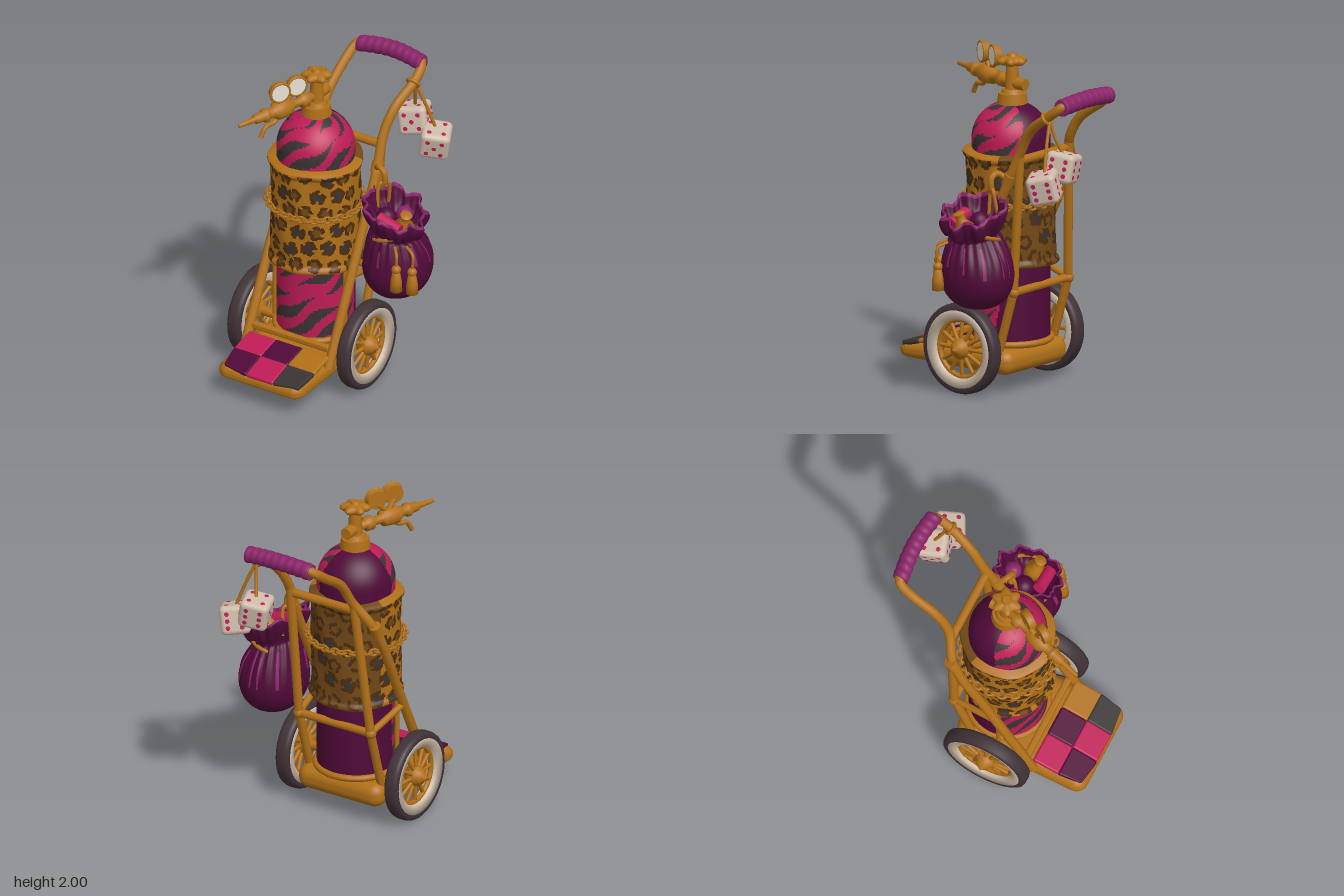
import * as THREE from 'three';
import { RoundedBoxGeometry } from 'three/addons/geometries/RoundedBoxGeometry.js';

const mat = (name, color) => Object.assign(new THREE.MeshStandardMaterial({ color }), { name });
const gold = mat('gold', 0xb07018), pink = mat('pink', 0xbe1c56), charcoal = mat('charcoal', 0x3a3433);
const purple = mat('purple', 0x500938), magenta = mat('magenta', 0x8a2468), cream = mat('cream', 0xcdbba8);
const rubber = mat('rubber', 0x403237), brown = mat('brown', 0x4e2d0f), bronze = mat('bronze', 0x724817);
const white = mat('white', 0xe9e2d8);

const V = (x, y, z) => new THREE.Vector3(x, y, z);
const TX = -0.12, TZ = 0.04; // tank axis
const hash = (i, j) => { const s = Math.sin(i * 127.1 + j * 311.7) * 43758.5453; return s - Math.floor(s); };

function add(parent, name, geo, material, x = 0, y = 0, z = 0, rx = 0, ry = 0, rz = 0) {
  const m = new THREE.Mesh(geo, material);
  m.name = name;
  m.position.set(x, y, z);
  m.rotation.set(rx, ry, rz);
  parent.add(m);
  return m;
}
function group(parent, name, x = 0, y = 0, z = 0) {
  const g = new THREE.Group();
  g.name = name;
  g.position.set(x, y, z);
  parent.add(g);
  return g;
}
const cyl = (r1, r2, h, n = 20) => new THREE.CylinderGeometry(r1, r2, h, n);
const ball = (r) => new THREE.SphereGeometry(r, 16, 12);
const lathe = (pts, n = 32) => new THREE.LatheGeometry(pts.map(p => new THREE.Vector2(p[0], p[1])), n);
const tube = (pts, r, n = 40) => new THREE.TubeGeometry(new THREE.CatmullRomCurve3(pts.map(p => V(...p))), n, r, 10);
// straight bar between two points
function bar(parent, name, a, b, r) {
  const A = V(...a), B = V(...b), d = B.clone().sub(A);
  const m = add(parent, name, cyl(r, r, d.length(), 12), gold);
  m.position.copy(A).add(B).multiplyScalar(0.5);
  m.quaternion.setFromUnitVectors(V(0, 1, 0), d.normalize());
}
// closed surface of rings; pick() chooses a material index for each cell
function surface(rows, cols, point, pick) {
  const pos = [], lists = [];
  const ang = j => -Math.PI + j / cols * Math.PI * 2;
  for (let i = 0; i <= rows; i++) for (let j = 0; j < cols; j++) pos.push(...point(ang(j), i / rows));
  for (let i = 0; i < rows; i++) for (let j = 0; j < cols; j++) {
    const k = (j + 1) % cols, a = i * cols + j, b = i * cols + k, c = b + cols, d = a + cols;
    const p = pick(ang(j + 0.5), (i + 0.5) / rows);
    (lists[p] ||= []).push(a, b, c, a, c, d);
  }
  const g = new THREE.BufferGeometry();
  g.setAttribute('position', new THREE.Float32BufferAttribute(pos, 3));
  g.setIndex(lists.flat());
  let start = 0;
  lists.forEach((l, p) => { g.addGroup(start, l.length, p); start += l.length; });
  g.computeVertexNormals();
  return g;
}

function buildTank(root) {
  const g = group(root, 'tank', TX, 0, TZ), R = 0.23, L = 1.2 + R * Math.PI / 2;
  const shell = (a, v) => {
    const s = v * L, th = Math.max(0, (s - 1.2) / R), r = R * Math.cos(th);
    return [r * Math.sin(a), 0.27 + Math.min(s, 1.2) + 0.22 * Math.sin(th), r * Math.cos(a)];
  };
  // tapering tiger stripes on the front, plain purple behind
  const stripes = (a, v) => {
    const u = a * R, s = v * L, edge = 0.05 * Math.sin(s * 17);
    if (s < 0.8 ? Math.cos(a - 0.25) < -0.1 + edge : Math.cos(a - 0.55) < -0.45 + edge) return 2;
    const t = (s - 0.62 * u) / 0.135 + 0.13 * Math.sin(u * 21 + s * 9), k = Math.floor(t);
    const w = 0.17 + 0.17 * Math.sin(u * 15 + k * 2.4);
    return Math.abs(t - k - 0.5) < w ? 1 : 0;
  };
  add(g, 'tankShell', surface(120, 160, shell, stripes), [pink, charcoal, purple]);
  add(g, 'footRing', new THREE.TorusGeometry(0.235, 0.02, 10, 40), gold, 0, 0.28, 0, Math.PI / 2);

  // leopard wrap with rolled hems
  const H = 0.69, WR = 0.263, n = 14, cell = Math.PI * 2 * WR / n;
  const wrap = (a, v) => {
    const e = Math.min(v, 1 - v);
    const r = WR + 0.004 * Math.sin(a * 7 + v * 9) + 0.016 * Math.sin(Math.PI * Math.min(1, e / 0.08)) - 0.035 * Math.max(0, 1 - e / 0.02);
    return [r * Math.sin(a), 0.725 + v * H + 0.006 * Math.sin(3 * a), r * Math.cos(a)];
  };
  const spots = (a, v) => {
    const u = (a + Math.PI) * WR / cell, w = v * H / cell, ground = Math.cos(a) < -0.4 ? 2 : 0;
    if (v < 0.03 || v > 0.965) return ground;
    for (let j = Math.floor(w) - 1; j <= w + 1; j++) for (let i = Math.floor(u) - 1; i <= u + 1; i++) {
      const c = (i + n) % n, q = hash(c, j), stagger = (j & 1) * 0.5;
      const dx = u - i - stagger - 0.15 - 0.3 * q, dy = w - j - 0.35 - 0.3 * hash(j + 5, c);
      const d = Math.hypot(dx, dy), f = Math.atan2(dy, dx), r = 0.36 + 0.07 * q + 0.03 * Math.sin(f * 5 + q * 9);
      if (d < r * 0.52) return q > 0.7 ? 3 : 2;
      if (d < r && Math.sin(f * 2 + q * 20) + 0.4 * Math.sin(f * 5) > -0.95) return 1;
    }
    return ground;
  };
  add(g, 'leopardWrap', surface(92, 216, wrap, spots), [gold, brown, bronze, charcoal]);
  // chain round the wrap
  const links = 46, link = new THREE.TorusGeometry(0.02, 0.0075, 6, 10).scale(1.3, 1, 1);
  for (let i = 0; i < links; i++) {
    const a = i / links * Math.PI * 2;
    const m = add(g, 'chainLink', link, gold, 0.28 * Math.sin(a), 1.115, 0.28 * Math.cos(a), i % 2 * Math.PI / 2, a);
    m.rotation.order = 'YXZ';
  }
}

function buildValve(root) {
  const g = group(root, 'valve', TX, 1.8, 0.03);
  add(g, 'neck', cyl(0.082, 0.09, 0.06, 24), gold, 0, -0.09);
  add(g, 'collar', cyl(0.055, 0.07, 0.03, 24), gold, 0, -0.05);
  add(g, 'stem', cyl(0.035, 0.045, 0.17), gold, 0, 0.03);
  add(g, 'rearNipple', cyl(0.035, 0.035, 0.1), gold, 0, 0, -0.05, Math.PI / 2);
  add(g, 'knob', surface(8, 72, (a, v) => {
    const r = (0.08 + 0.012 * Math.cos(6 * a)) * Math.pow(Math.sin(Math.PI * v), 0.35);
    return [r * Math.sin(a), 0.1 + 0.065 * v, r * Math.cos(a)];
  }, () => 0), [gold]);
  add(g, 'knobCap', cyl(0.025, 0.035, 0.02), gold, 0, 0.165);
  const arm = group(g, 'regulator');
  arm.rotation.y = -0.316;
  // pipe, nut, body and stepped nozzle turned on one axis
  add(arm, 'nozzle', lathe([[0, 0], [0.026, 0], [0.026, 0.07], [0.044, 0.075], [0.044, 0.12], [0.026, 0.125], [0.026, 0.19],
    [0.05, 0.2], [0.056, 0.25], [0.056, 0.3], [0.035, 0.33], [0.028, 0.37], [0.042, 0.375], [0.042, 0.395], [0.032, 0.4],
    [0.028, 0.46], [0.018, 0.465], [0.012, 0.58], [0, 0.585]], 20), gold, 0, 0, 0, Math.PI / 2);
  add(arm, 'lever', tube([[0, -0.03, 0.27], [0, -0.07, 0.32], [0, -0.08, 0.38], [0, -0.14, 0.42]], 0.014, 16), gold);
  for (const z of [0.165, 0.29]) {
    bar(arm, 'gaugeStem', [0, 0.03, 0.24], [0.0, 0.1, z], 0.016);
    const gauge = group(arm, 'gauge', 0.01, 0.13, z);
    gauge.rotation.y = -0.25;
    add(gauge, 'gaugeCase', cyl(0.066, 0.058, 0.036, 28), gold, 0, 0, 0, 0, 0, -Math.PI / 2);
    add(gauge, 'gaugeRim', new THREE.TorusGeometry(0.06, 0.008, 8, 28), gold, 0.018, 0, 0, 0, Math.PI / 2);
    add(gauge, 'gaugeFace', cyl(0.054, 0.054, 0.008, 28), white, 0.02, 0, 0, 0, 0, -Math.PI / 2);
  }
}

function buildFrame(root) {
  const g = group(root, 'frame');
  add(g, 'leftRail', tube([[0.17, 0.2, 0.35], [0.168, 0.8, 0.06], [0.165, 1.3, -0.18], [0.155, 1.48, -0.26], [0.175, 1.62, -0.35],
    [0.21, 1.74, -0.52], [0.2, 1.8, -0.6], [0.17, 1.82, -0.62]], 0.029, 70), gold);
  add(g, 'rightRail', tube([[-0.405, 0.2, 0.35], [-0.405, 0.8, 0.06], [-0.395, 1.3, -0.18], [-0.29, 1.48, -0.26], [-0.275, 1.62, -0.35],
    [-0.27, 1.74, -0.52], [-0.25, 1.8, -0.6], [-0.2, 1.82, -0.62]], 0.029, 70), gold);
  // bowed grip with wrapped bands
  const wraps = [[0, 0], [0.04, 0]];
  for (let i = 0; i <= 44; i++) wraps.push([0.05 + 0.002 * Math.sin(i * Math.PI / 2.5), i * 0.01]);
  wraps.push([0.04, 0.44], [0, 0.44]);
  const grip = lathe(wraps, 20), p = grip.attributes.position;
  for (let i = 0; i < p.count; i++) {
    const bow = 0.02 * Math.sin(Math.PI * p.getY(i) / 0.44);
    p.setX(i, p.getX(i) + bow);
    p.setZ(i, p.getZ(i) - bow);
  }
  add(g, 'grip', grip, magenta, 0.205, 1.802, -0.605, 0, 0, Math.PI / 2);
  add(g, 'topCrossbar', cyl(0.026, 0.026, 0.46, 12), gold, -0.065, 1.42, -0.24, 0, 0, Math.PI / 2);
  add(g, 'lowCrossbar', cyl(0.024, 0.024, 0.5, 12), gold, TX, 0.62, -0.185, 0, 0, Math.PI / 2);
  add(g, 'frontBar', new RoundedBoxGeometry(0.54, 0.04, 0.04, 2, 0.012), gold, TX, 0.3, 0.3);
  for (const s of [-1, 1]) {
    const x = TX + s * 0.25, xo = TX + s * 0.285;
    bar(g, 'rearStrut', [s < 0 ? -0.295 : 0.15, 1.46, -0.25], [x, 0.62, -0.185], 0.027);
    bar(g, 'lowerStrut', [x, 0.62, -0.185], [x, 0.2, -0.06], 0.026);
    bar(g, 'sideLink', [x, 0.62, -0.185], [xo, 0.7, 0.1], 0.02);
    add(g, 'knuckle', ball(0.034), gold, x, 0.62, -0.185);
    add(g, 'railClamp', cyl(0.036, 0.036, 0.07), gold, xo, 1.3, -0.18, -0.45);
    add(g, 'frontPost', cyl(0.014, 0.014, 0.5, 10), gold, TX + s * 0.245, 0.52, 0.1);
  }
  add(g, 'axle', cyl(0.028, 0.028, 0.78, 14), gold, -0.115, 0.27, 0.09, 0, 0, Math.PI / 2);
}

function buildBase(root) {
  const g = group(root, 'base');
  // rounded slab whose top slopes down toward the front lip
  const slab = new RoundedBoxGeometry(0.585, 0.16, 0.84, 8, 0.072);
  const p = slab.attributes.position;
  for (let i = 0; i < p.count; i++) {
    const z = p.getZ(i) + 0.25, t = (p.getY(i) + 0.08) / 0.16;
    const top = 0.26 - Math.max(0, z - 0.33) * 0.18;
    p.setXYZ(i, p.getX(i) + TX, 0.11 + t * (top - 0.11), z);
  }
  add(g, 'footPlate', slab, gold);
  // quilted pad, its outer corners rounded off
  const quilt = group(g, 'quilt', -0.107, 0.232, 0.5);
  quilt.rotation.x = 0.2;
  const W = 0.275, D = 0.163, C = 0.07;
  [[pink, purple, gold], [purple, pink, charcoal]].forEach((row, r) => row.forEach((m, c) => {
    const patch = new RoundedBoxGeometry(0.188, 0.03, 0.17, 5, 0.013), q = patch.attributes.position;
    for (let i = 0; i < q.count; i++) {
      let x = q.getX(i) + (c - 1) * 0.185, z = q.getZ(i) + (r - 0.5) * 0.165;
      const ex = Math.abs(x) - (W - C), ez = z - (D - C), l = Math.hypot(ex, ez);
      if (ex > 0 && ez > 0 && l > C) { x = Math.sign(x) * (W - C + ex * C / l); z = D - C + ez * C / l; }
      q.setXYZ(i, x, q.getY(i) - 0.25 * Math.max(0, z - 0.11), z);
    }
    add(quilt, 'patch', patch, m);
  }));
}

function buildWheel(root, x, s) {
  const g = group(root, 'wheel', x, 0.27, 0.09);
  g.rotation.z = -s * Math.PI / 2;
  add(g, 'tyre', lathe([[0.232, -0.043], [0.25, -0.045], [0.265, -0.035], [0.27, -0.018], [0.27, 0.018], [0.265, 0.035],
    [0.25, 0.045], [0.232, 0.043]], 48), rubber);
  add(g, 'whitewall', lathe([[0.178, -0.03], [0.236, -0.042], [0.236, 0.042], [0.178, 0.03], [0.178, -0.03]], 48), cream);
  add(g, 'rim', new THREE.TorusGeometry(0.172, 0.016, 10, 40), gold, 0, 0, 0, Math.PI / 2);
  for (let i = 0; i < 12; i++) {
    const a = i * Math.PI / 6;
    bar(g, 'spoke', [0.04 * Math.sin(a), 0.012, 0.04 * Math.cos(a)], [0.17 * Math.sin(a), 0, 0.17 * Math.cos(a)], 0.012);
  }
  add(g, 'hub', lathe([[0, -0.04], [0.05, -0.04], [0.062, 0], [0.062, 0.03], [0.045, 0.045], [0.045, 0.055], [0.022, 0.07], [0, 0.088]], 20), gold);
}

function buildBag(root) {
  const g = group(root, 'bag', 0.36, 0, -0.1);
  const curve = new THREE.CatmullRomCurve3([[0, 0.56], [0.11, 0.575], [0.19, 0.64], [0.226, 0.74], [0.208, 0.87], [0.165, 0.97], [0.148, 1],
    [0.178, 1.05], [0.2, 1.12], [0.19, 1.15], [0.165, 1.08], [0.12, 1.02], [0, 1]].map(q => V(q[0], q[1], 0)));
  const { smoothstep } = THREE.MathUtils;
  // gathered neck leans outward and forward
  const skin = (a, v) => {
    const q = curve.getPoint(v), up = smoothstep(q.y, 0.7, 1), top = smoothstep(q.y, 0.8, 1.1);
    const r = q.x * (1 + 0.035 * up * Math.sin(20 * a) + (v > 0.5 ? 0.08 * Math.sin(9 * a) * Math.min(1, (v - 0.5) * 6) : 0));
    const x = 0.88 * r * Math.sin(a);
    return [x, q.y - x * 0.38 * top + (v > 0.55 && v < 0.85 ? 0.015 * Math.sin(7 * a) : 0), r * Math.cos(a) + 0.03 * top];
  };
  // bright lip and a few bright fold streaks
  const folds = (a, v) => {
    if (v > 0.7 && v < 0.78) return 1;
    const k = Math.round(a / 0.6);
    return Math.abs(a - k * 0.6) < 0.04 && v > 0.26 + 0.06 * hash(k, 3) && v < 0.36 + 0.08 * hash(k, 8) ? 1 : 0;
  };
  add(g, 'sack', surface(56, 120, skin, folds), [purple, magenta]);
  add(g, 'neckCord', new THREE.TorusGeometry(0.157, 0.012, 8, 40).scale(0.92, 1, 1), gold, 0, 0.99, 0.02, Math.PI / 2, 0.28);
  // loot peeking out
  add(g, 'bottle', lathe([[0, 0], [0.055, 0], [0.06, 0.07], [0.028, 0.11], [0.028, 0.15], [0.036, 0.16], [0, 0.165]], 16), gold, 0.05, 0.985, 0.03, 0.2, 0, -0.3);
  add(g, 'pinkRoll', cyl(0.038, 0.038, 0.15, 16), pink, 0.02, 1.08, 0.125, 0, 0, Math.PI / 2 - 0.3);
  add(g, 'plumBall', ball(0.06), purple, -0.06, 1.06, 0.03);
  add(g, 'plumBall', ball(0.05), magenta, 0.0, 1.05, -0.07);
  // tassels
  for (const [x, y, z] of [[0.115, 0.79, 0.195], [0.19, 0.77, 0.14]]) {
    add(g, 'tasselCord', tube([[x * 0.7, 0.96, z * 0.8], [x * 1.02, 0.93, z], [x, y + 0.06, z]], 0.009, 14), gold);
    add(g, 'tasselKnot', ball(0.028), gold, x, y + 0.05, z);
    add(g, 'tasselSkirt', lathe([[0, -0.09], [0.036, -0.09], [0.034, -0.03], [0.022, 0.04], [0, 0.045]], 12), gold, x, y, z);
  }
  // hook and hanging loop
  add(root, 'bagHook', tube([[0.165, 1.3, -0.17], [0.21, 1.34, -0.13], [0.25, 1.32, -0.12], [0.255, 1.26, -0.12], [0.23, 1.22, -0.12]], 0.018, 24), gold);
  add(root, 'bagLoop', tube([[0.23, 1.08, -0.08], [0.235, 1.25, -0.1], [0.265, 1.25, -0.14], [0.25, 1.08, -0.17]], 0.011, 24), gold);
}

function buildDice(root) {
  const four = [[-1, -1], [1, 1], [-1, 1], [1, -1]], five = [...four, [0, 0]], six = [...four, [-1, 0], [1, 0]];
  const faces = [[0, 0, five], [0, Math.PI / 2, six], [-Math.PI / 2, 0, four], [Math.PI / 2, 0, four], [0, -Math.PI / 2, five], [0, Math.PI, six]];
  for (const [x, y, z, rx, ry, rz] of [[0.315, 1.345, -0.57, 0.25, 0.45, -0.25], [0.165, 1.44, -0.585, -0.15, 0.3, 0.2]]) {
    const die = group(root, 'die', x, y, z);
    die.rotation.set(rx, ry, rz);
    add(die, 'dieBody', new RoundedBoxGeometry(0.175, 0.175, 0.175, 4, 0.03), cream);
    for (const [tx, ty, pips] of faces) {
      const face = group(die, 'dieFace');
      face.rotation.set(tx, ty, 0);
      for (const [px, py] of pips) add(face, 'pip', new THREE.CircleGeometry(0.014, 10), pink, px * 0.042, py * 0.042, 0.089);
    }
    add(root, 'diceCord', tube([[0.205, 1.72, -0.52], [(x + 0.205) / 2 + 0.005, (y + 1.8) / 2, -0.545], [x, y + 0.08, z]], 0.01, 16), gold);
  }
  add(root, 'cordKnot', new THREE.TorusGeometry(0.034, 0.012, 8, 20), gold, 0.205, 1.725, -0.5, 0.6);
}

export function createModel() {
  const root = new THREE.Group();
  root.name = 'tankCart';
  buildTank(root);
  buildValve(root);
  buildFrame(root);
  buildBase(root);
  buildWheel(root, 0.265, 1);
  buildWheel(root, -0.495, -1);
  buildBag(root);
  buildDice(root);
  return root;
}
